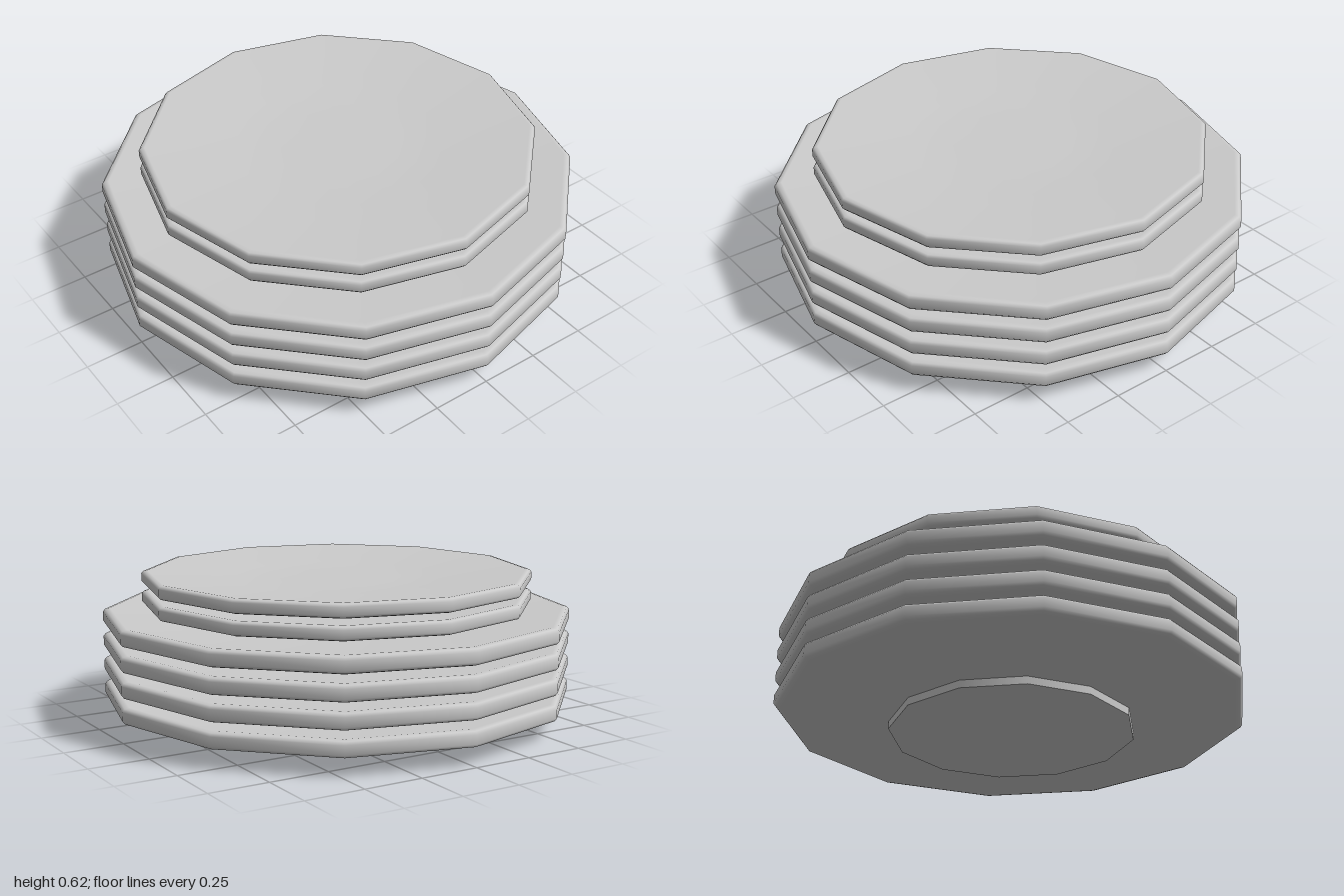
import * as THREE from 'three';
import { mergeGeometries } from 'three/addons/utils/BufferGeometryUtils.js';

const SIDES = 12;

// Plate cross-section as [radius, height] runs; each run shades smoothly, with sharp edges between runs
const PLATE_RUNS = [
  [[0, 0], [0.52, 0]],                       // flat base of the foot
  [[0.52, 0], [0.52, 0.033]],                // foot wall
  [[0.52, 0.033], [0.97, 0.072],             // underside
    [0.99, 0.078], [1, 0.09], [1, 0.128], [0.99, 0.14], [0.97, 0.144], // rounded rim
    [0.53, 0.108], [0.3, 0.104], [0, 0.103]], // shallow dished top
];

function plateGeometry() {
  const runs = PLATE_RUNS.map((run) =>
    new THREE.LatheGeometry(run.map(([r, y]) => new THREE.Vector2(r, y)), SIDES));
  return mergeGeometries(runs);
}

export function createModel() {
  const model = new THREE.Group();
  model.name = 'plateStack';
  const material = new THREE.MeshStandardMaterial({ color: 0xcccccc });
  const geometry = plateGeometry();

  function addPlates(name, count, baseY, spacing, scale) {
    for (let i = 0; i < count; i++) {
      const plate = new THREE.Mesh(geometry, material);
      plate.name = name + (i + 1);
      plate.scale.setScalar(scale);
      plate.position.y = baseY + i * spacing;
      model.add(plate);
    }
  }

  // Four dinner plates with two side plates on top
  addPlates('dinnerPlate', 4, 0, 0.105, 1);
  addPlates('sidePlate', 2, 0.415, 0.086, 0.832);
  return model;
}
